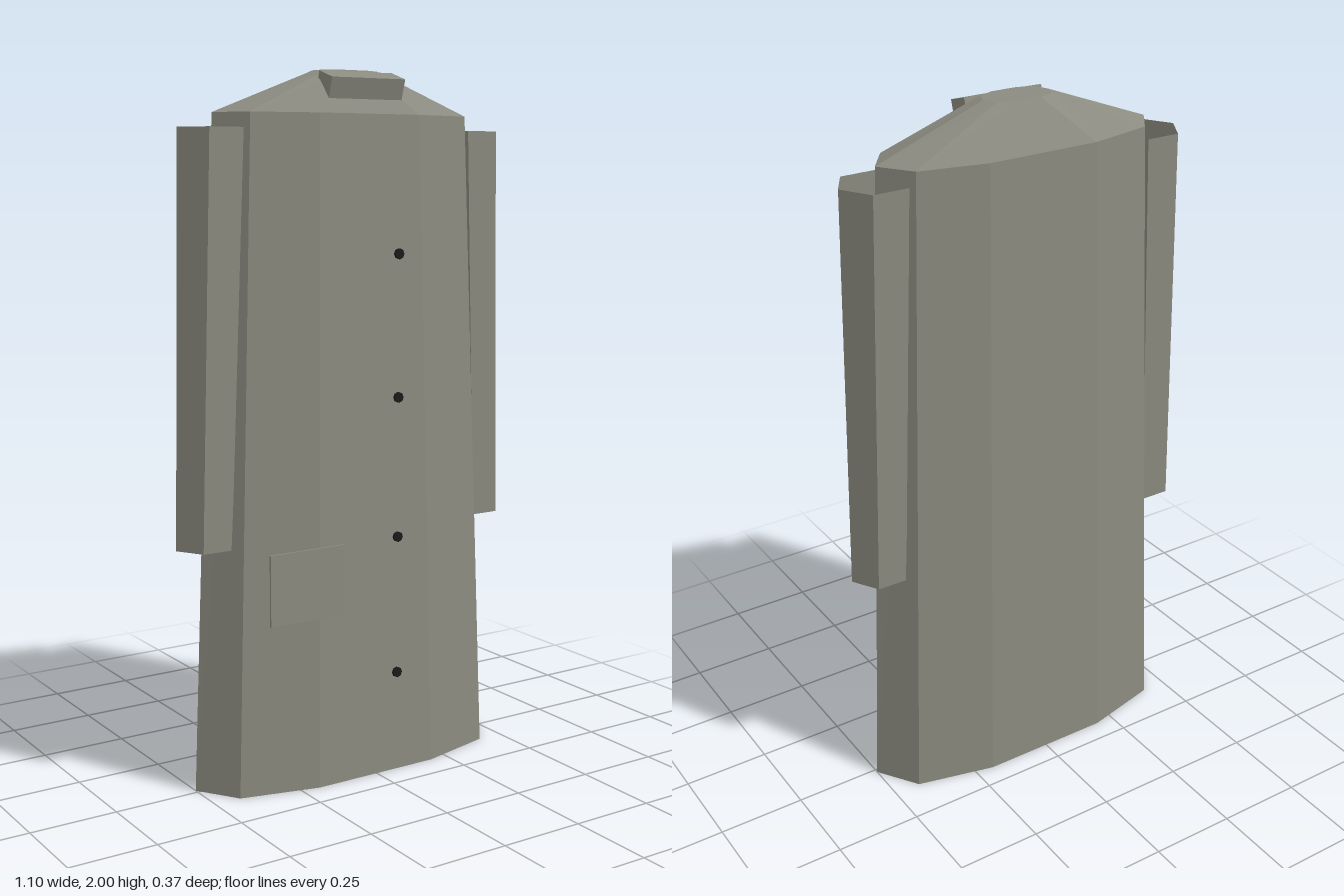
import * as THREE from 'three';

const cloth = new THREE.MeshStandardMaterial({ color: 0x8b8b80, flatShading: true, side: THREE.DoubleSide });
cloth.name = 'greyCloth';
const dark = new THREE.MeshStandardMaterial({ color: 0x1a1a1a, flatShading: true });
dark.name = 'blackButton';

// Lofts rings [cx, y, cz, rx, rz], listed from bottom to top; caps one end if asked.
function loft(rings, sides, power, cap) {
  const pos = [], idx = [];
  const soft = (v) => Math.sign(v) * Math.pow(Math.abs(v) < 1e-9 ? 0 : Math.abs(v), power);
  for (const [cx, y, cz, rx, rz] of rings) {
    for (let i = 0; i < sides; i++) {
      const a = (i / sides) * Math.PI * 2;
      pos.push(cx + rx * soft(Math.cos(a)), y, cz + rz * soft(Math.sin(a)));
    }
  }
  for (let r = 0; r < rings.length - 1; r++) {
    for (let i = 0; i < sides; i++) {
      const a = r * sides + i, b = r * sides + (i + 1) % sides;
      idx.push(a, a + sides, b, b, a + sides, b + sides);
    }
  }
  const start = cap === 'top' ? (rings.length - 1) * sides : 0;
  for (let i = 1; i < sides - 1; i++) {
    if (cap === 'top') idx.push(start, start + i + 1, start + i);
    else idx.push(start, start + i, start + i + 1);
  }
  const g = new THREE.BufferGeometry();
  g.setAttribute('position', new THREE.Float32BufferAttribute(pos, 3));
  g.setIndex(idx);
  const flat = g.toNonIndexed();
  flat.computeVertexNormals();
  return flat;
}

export function createModel() {
  const coat = new THREE.Group();
  coat.name = 'coat';
  const add = (name, geometry, material, x = 0, y = 0, z = 0) => {
    const m = new THREE.Mesh(geometry, material);
    m.name = name;
    m.position.set(x, y, z);
    coat.add(m);
    return m;
  };
  const midZ = -0.012;

  // Body: open hem, sloping shoulders, closed neck
  add('body', loft([
    [0, 0, midZ, 0.5, 0.18],
    [0, 1.88, midZ, 0.42, 0.14],
    [0, 2, midZ, 0.1, 0.06],
  ], 10, 0.8, 'top'), cloth);

  // Sleeves: open at the shoulder, closed at the cuff
  for (const s of [1, -1]) {
    add(s > 0 ? 'leftSleeve' : 'rightSleeve', loft([
      [s * 0.46, 0.7, midZ, 0.088, 0.088],
      [s * 0.423, 1.84, midZ, 0.102, 0.1],
    ], 6, 1, 'bottom'), cloth);
  }

  // Tilted collar block
  add('collar', new THREE.BoxGeometry(0.24, 0.06, 0.068), cloth, 0, 1.957, 0.073).rotation.x = 0.3;

  // Pocket patch
  add('pocket', new THREE.BoxGeometry(0.24, 0.2, 0.006), cloth, -0.24, 0.6, 0.174);

  // Button row
  const button = new THREE.CylinderGeometry(0.015, 0.015, 0.008, 8).rotateX(Math.PI / 2);
  for (let i = 0; i < 4; i++) add('button', button, dark, 0.058, 0.3 + i * 0.4, 0.178);

  return coat;
}
